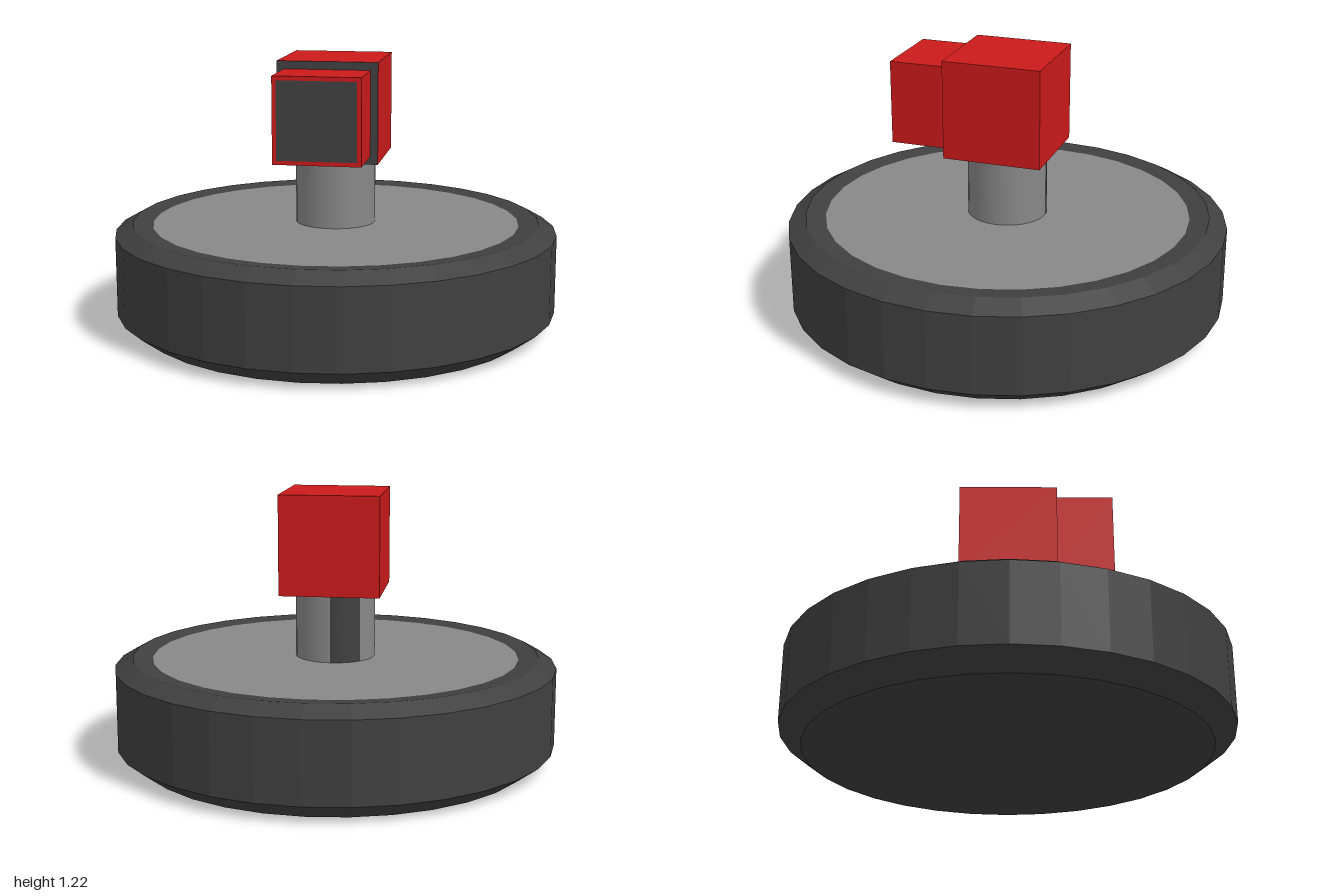
import * as THREE from 'three';

const SIDES = 32;
const material = (color, flatShading = false) => new THREE.MeshStandardMaterial({ color, flatShading });

export function createModel() {
  const model = new THREE.Group();
  const dark = material(0x404040);
  const darkFaceted = material(0x404040, true);
  const grey = material(0x888888);
  const red = material(0xcc1a1a);

  const add = (name, geometry, mat, x = 0, y = 0, z = 0) => {
    const mesh = new THREE.Mesh(geometry, mat);
    mesh.name = name;
    mesh.position.set(x, y, z);
    model.add(mesh);
    return mesh;
  };

  // Round base with bevelled edges and a shallow lip around the top plate
  const profile = [[0, 0], [0.9, 0], [1, 0.075], [1, 0.43], [0.92, 0.475], [0.83, 0.466]]
    .map(([r, y]) => new THREE.Vector2(r, y));
  add('base', new THREE.LatheGeometry(profile, SIDES), darkFaceted);
  add('topPlate', new THREE.CircleGeometry(0.83, SIDES).rotateX(-Math.PI / 2), grey, 0, 0.466, 0);

  // Stem, with a dark strip covering an eighth of it at the back right
  const bottom = 0.466, top = 0.77;
  const stemPart = (name, mat, start, length) => add(name,
    new THREE.CylinderGeometry(0.18, 0.18, top - bottom, SIDES * length / (Math.PI * 2), 1, true, start, length),
    mat, 0, (top + bottom) / 2, 0);
  stemPart('stem', grey, Math.PI * 1.25, Math.PI * 1.75);
  stemPart('stemStrip', dark, Math.PI, Math.PI * 0.25);

  // Head block with a dark front face
  add('head', new THREE.BoxGeometry(0.446, 0.446, 0.446), red, 0, 0.993, 0);
  add('headFront', new THREE.PlaneGeometry(0.446, 0.446), dark, 0, 0.993, 0.224);

  // Smaller block projecting forward, its dark face framed in red
  add('snout', new THREE.BoxGeometry(0.38, 0.376, 0.257), red, 0, 0.993, 0.3515);
  add('snoutFront', new THREE.PlaneGeometry(0.344, 0.34), dark, 0, 0.993, 0.481);

  return model;
}
